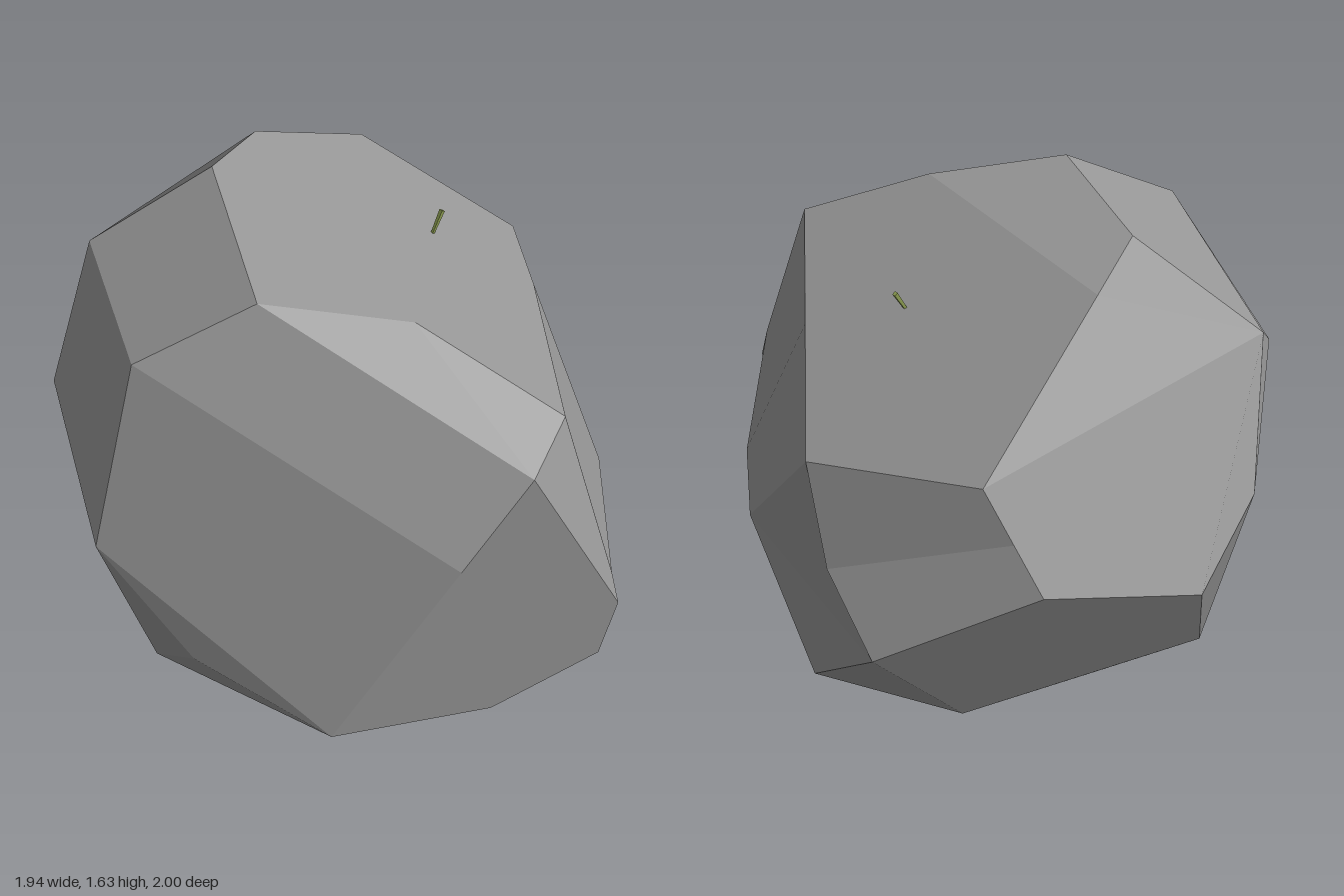
import * as THREE from 'three';

// Corners of the chipped stone, from the crown through the waist to the foot
const corners = {
  A: [-0.45, 1.63, -0.08], V: [-0.34, 1.60, -0.39], B: [-0.22, 1.54, 0.60], C: [0.27, 1.47, 0.56],
  D: [0.75, 1.23, 0.69], E: [0.65, 1.23, -0.06], F: [0.58, 1.10, -0.65], U: [-0.01, 1.28, -0.98],
  L: [-0.90, 1.29, -0.12], J: [-0.61, 1.35, 0.69],
  G: [0.66, 1.13, 0.89], H: [0.45, 0.82, 0.985], N: [0.94, 0.64, 0.74], O: [0.97, 0.52, 0.75],
  P: [0.92, 0.58, 0.06], Q: [0.88, 0.47, -0.18], W: [0.50, 0.83, -0.86], X: [0.35, 0.56, -1.00],
  M: [-0.97, 0.98, 0.29], K: [-0.74, 0.73, 0.85], m: [-0.105, 1.06, -0.98],
  a: [-0.91, 0.70, -0.25], b: [-0.71, 0.71, -0.79], c: [-0.20, 0.84, -0.98],
  I: [0.04, 0.07, 1.00], R: [0.92, 0.31, 0.77], S: [0.57, 0.13, 0.88], T: [0.53, 0.00, 0.16],
  Y: [0.62, 0.06, -0.56], d: [-0.43, 0.30, 0.90], e: [-0.60, 0.11, 0.69], f: [-0.72, 0.06, 0.09],
  g: [-0.74, 0.24, -0.50], h: [-0.38, 0.02, -0.46], i: [0.08, 0.06, -0.73],
};

// Facets as loops of corners, counter-clockwise from outside; each fans out from its first corner
const facets = [
  'ABCV', 'EFUVCD', 'VULA', 'JBAL', 'MKJL',     // top and left shoulder
  'CBGD', 'GBJH', 'KIHJ', 'HISROG', 'DGON',     // front
  'KdI', 'Ked', 'eId', 'Kfe',                   // front lower corner
  'LaM', 'gfKMab',                              // left side
  'LUmcba', 'ihgbcX', 'UFWm', 'WXcm',           // back
  'EDNPQF', 'FQXW', 'XQY', 'XYi', 'RSTYQPNO',   // right side and its undercut
  'TSIefhiY', 'fgh',                            // underside
];

// Each facet is a fan of triangles sharing one averaged normal
function facetedGeometry() {
  const positions = [];
  const normals = [];
  for (const facet of facets) {
    const loop = [...facet].map((key) => new THREE.Vector3(...corners[key]));
    const normal = new THREE.Vector3();
    loop.forEach((p, n) => normal.add(p.clone().cross(loop[(n + 1) % loop.length])));
    normal.normalize();
    for (let n = 1; n < loop.length - 1; n++) {
      for (const p of [loop[0], loop[n], loop[n + 1]]) {
        positions.push(...p.toArray());
        normals.push(...normal.toArray());
      }
    }
  }
  const geometry = new THREE.BufferGeometry();
  geometry.setAttribute('position', new THREE.Float32BufferAttribute(positions, 3));
  geometry.setAttribute('normal', new THREE.Float32BufferAttribute(normals, 3));
  return geometry;
}

export function createModel() {
  const model = new THREE.Group();
  model.name = 'rock';

  const stone = new THREE.Mesh(facetedGeometry(), new THREE.MeshStandardMaterial({ color: 0x999999 }));
  stone.name = 'stone';
  model.add(stone);

  // Tiny sprout growing from the sloping top, wider towards its tip
  const base = new THREE.Vector3(0.29, 1.35, -0.14);
  const tip = new THREE.Vector3(0.325, 1.44, -0.175);
  const along = tip.clone().sub(base);
  const sprout = new THREE.Mesh(
    new THREE.CylinderGeometry(0.01, 0.006, along.length(), 4),
    new THREE.MeshStandardMaterial({ color: 0x8a9a50, flatShading: true })
  );
  sprout.name = 'sprout';
  sprout.position.copy(base).add(tip).multiplyScalar(0.5);
  sprout.quaternion.setFromUnitVectors(new THREE.Vector3(0, 1, 0), along.normalize());
  model.add(sprout);

  return model;
}
